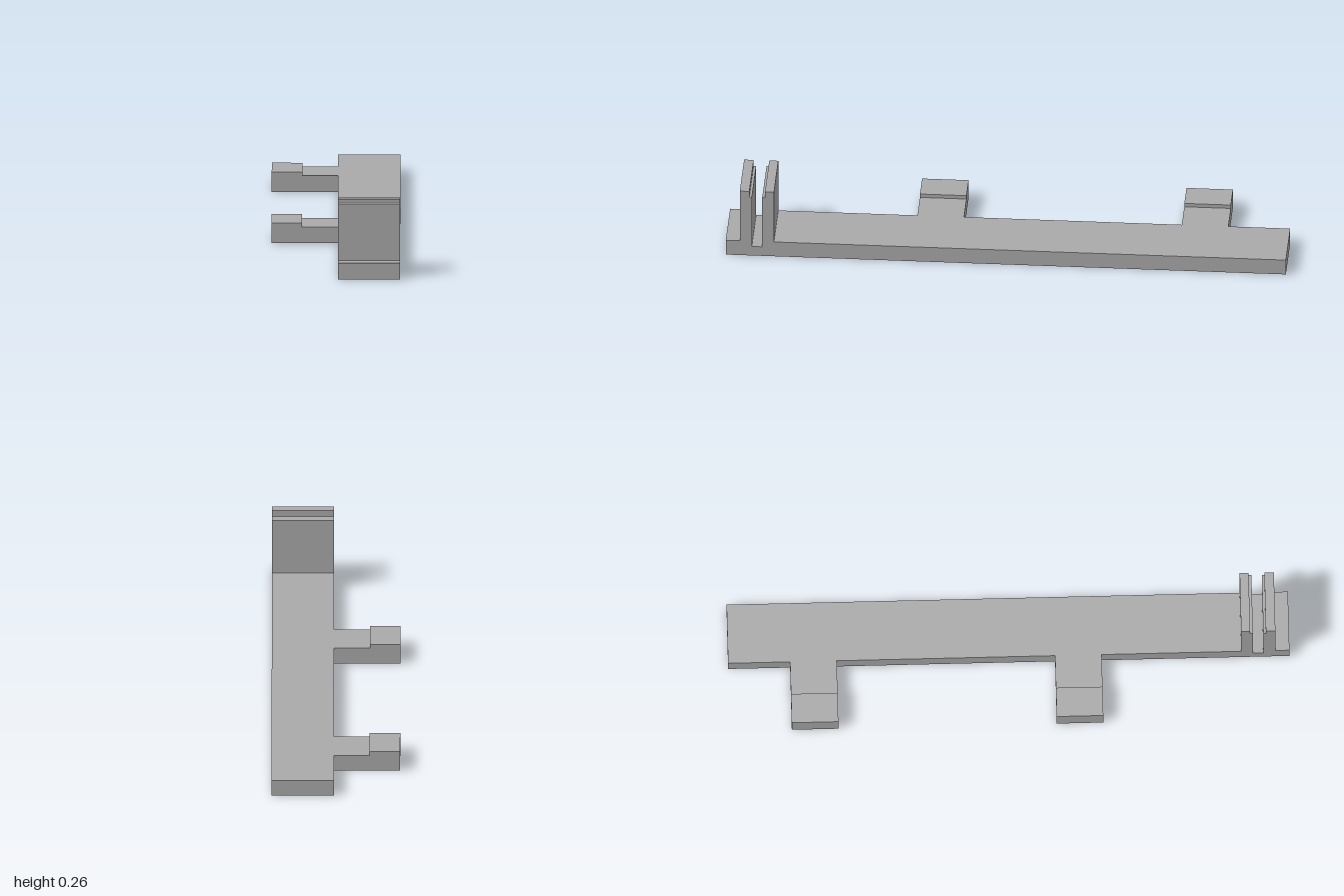
import * as THREE from 'three';

const INNER = 0.007, OUTER = 0.229; // rail sides in x
const BASE = 0.059;                 // plate thickness

function extrude(points, depth) {
  const shape = new THREE.Shape(points.map(([x, y]) => new THREE.Vector2(x, y)));
  return new THREE.ExtrudeGeometry(shape, { depth, bevelEnabled: false });
}

export function createModel() {
  const model = new THREE.Group();
  model.name = 'slottedBracket';
  const grey = new THREE.MeshStandardMaterial({ color: 0xaaaaaa });
  grey.name = 'plainGrey';

  // Long rail with two upright walls and the slot between them: [z, y] side profile
  const top = 0.264, step = 0.24, slotFloor = 0.037;
  const profile = [
    [1, 0], [1, BASE],
    [0.95, BASE], [0.95, top], [0.916, top], [0.916, step], [0.907, step], [0.907, slotFloor],
    [0.87, slotFloor], [0.87, step], [0.86, step], [0.86, top], [0.828, top], [0.828, BASE],
    [-1, BASE], [-1, 0],
  ];
  const railGeometry = extrude(profile.map(([z, y]) => [-z, y]), OUTER - INNER);
  railGeometry.rotateY(Math.PI / 2);
  railGeometry.translate(INNER, 0, 0);
  const rail = new THREE.Mesh(railGeometry, grey);
  rail.name = 'railWithSlottedHolder';
  model.add(rail);

  // Side tabs, each with a raised pad at its end: [x, y] profile
  const tabGeometry = extrude([
    [-0.229, 0], [INNER, 0], [INNER, BASE], [-0.12, BASE], [-0.12, 0.073], [-0.229, 0.073],
  ], 0.166);
  [['frontTab', 0.165], ['rearTab', -0.779]].forEach(([name, z]) => {
    const tab = new THREE.Mesh(tabGeometry, grey);
    tab.name = name;
    tab.position.z = z;
    model.add(tab);
  });

  return model;
}
